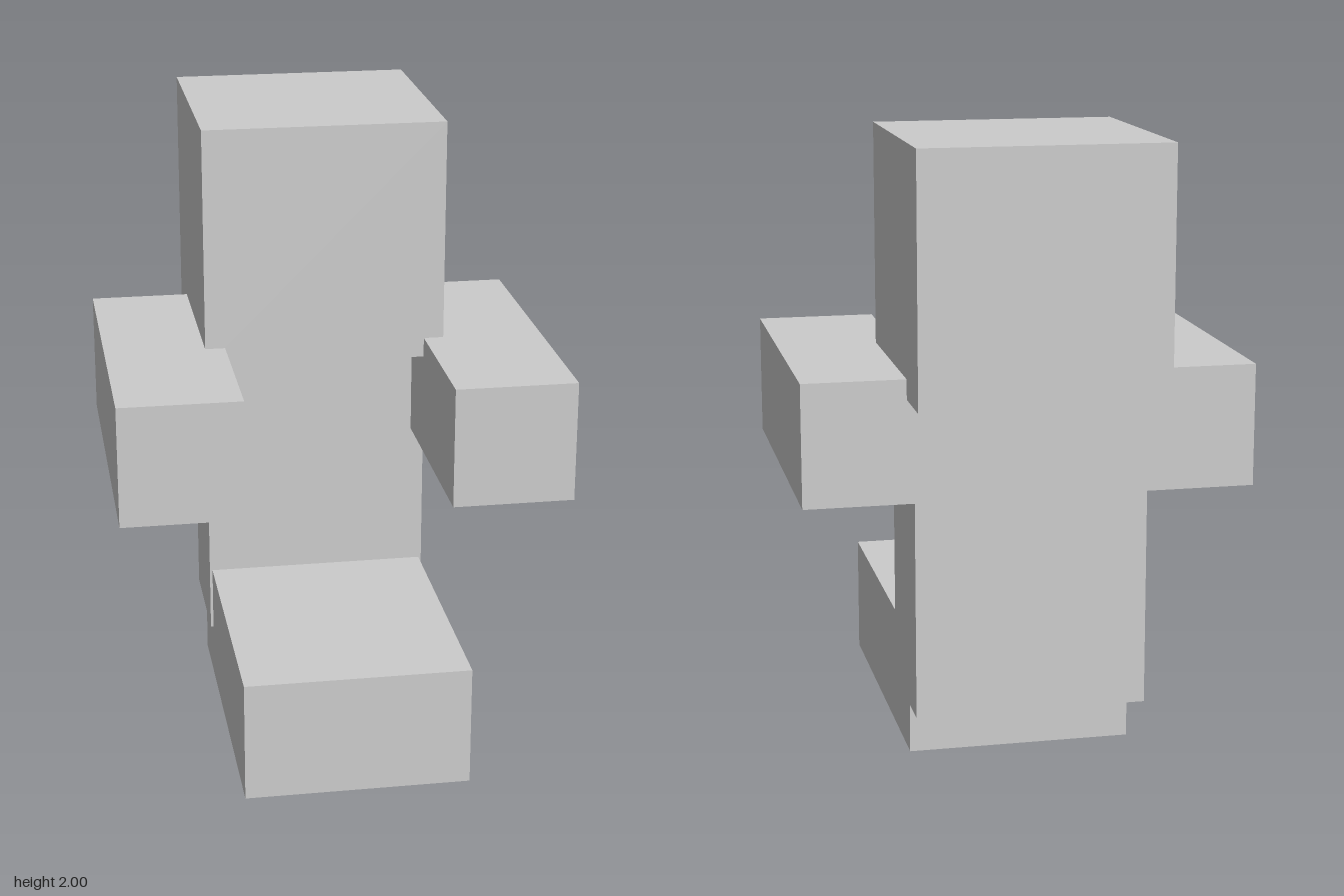
import * as THREE from 'three';

const material = new THREE.MeshStandardMaterial({ color: 0xcccccc, flatShading: true });

// Box given by its extents along each axis
function block(name, [x0, x1], [y0, y1], [z0, z1]) {
  const mesh = new THREE.Mesh(new THREE.BoxGeometry(x1 - x0, y1 - y0, z1 - z0), material);
  mesh.position.set((x0 + x1) / 2, (y0 + y1) / 2, (z0 + z1) / 2);
  mesh.name = name;
  return mesh;
}

export function createModel() {
  const model = new THREE.Group();
  model.name = 'seatedBlockFigure';

  model.add(block('head', [-0.394, 0.394], [1.212, 2], [-0.735, 0.056]));
  model.add(block('torso', [-0.372, 0.372], [0.18, 1.276], [-0.538, -0.144]));

  // Both legs form one block stretched out forward
  model.add(block('legs', [-0.363, 0.363], [0, 0.396], [-0.361, 0.735]));

  // Arms reaching forward
  const armY = [0.882, 1.276], armZ = [-0.538, 0.558];
  model.add(block('leftArm', [0.329, 0.721], armY, armZ));
  model.add(block('rightArm', [-0.721, -0.329], armY, armZ));

  return model;
}
